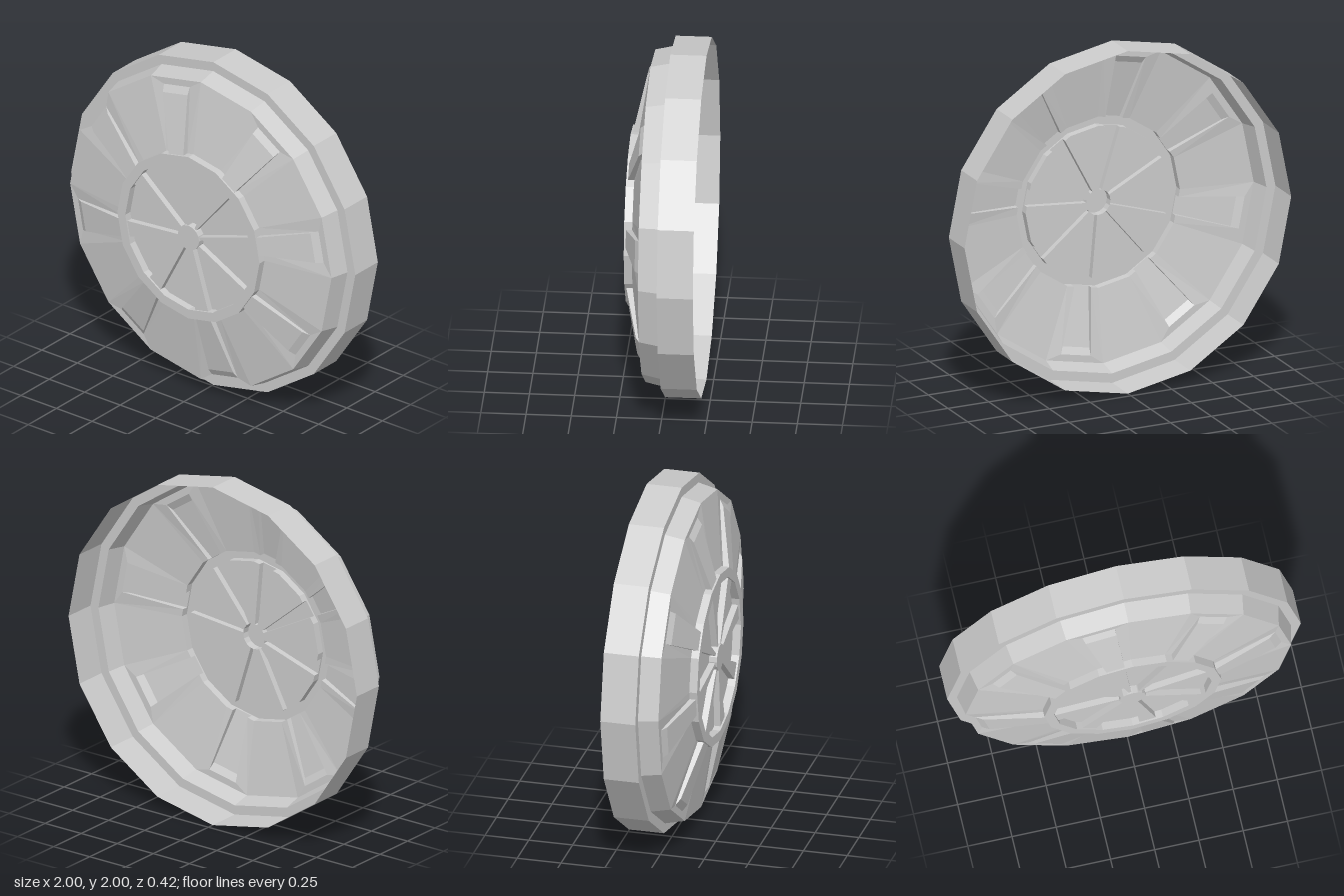
import * as THREE from 'three';

const SIDES = 16;
const S0 = 0.23, S1 = 0.77;            // spoke edges, as fractions of one facet
const BASE = 0.165, SPOKE = 0.2, RING = 0.21;   // depths of the pressed levels
const HUB = 0.075, RING_IN = 0.445, RING_OUT = 0.5, RIM = 0.92;

// Point on facet k, fraction t along its chord, at corner radius r and depth z
function P(k, t, [r, z]) {
  const a = (k / SIDES) * Math.PI * 2, b = ((k + 1) / SIDES) * Math.PI * 2;
  return new THREE.Vector3(
    r * THREE.MathUtils.lerp(Math.cos(a), Math.cos(b), t),
    r * THREE.MathUtils.lerp(Math.sin(a), Math.sin(b), t), z);
}

// Quad between two profile points, outer to inner, across part of a facet
const strip = (k, t0, t1, outer, inner) =>
  [P(k, t0, outer), P(k, t1, outer), P(k, t1, inner), P(k, t0, inner)];

function quadGeometry(quads) {
  const pts = quads.flatMap(([a, b, c, d]) => [a, b, c, a, c, d]);
  const g = new THREE.BufferGeometry().setFromPoints(pts);
  g.computeVertexNormals();
  return g;
}

// Full polygonal ring following a profile from the outside in
function ringQuads(profile) {
  const quads = [];
  for (let k = 0; k < SIDES; k++)
    for (let i = 0; i < profile.length - 1; i++)
      quads.push(strip(k, 0, 1, profile[i], profile[i + 1]));
  return quads;
}

export function createModel() {
  const model = new THREE.Group();
  const material = new THREE.MeshStandardMaterial({
    color: 0xcccccc, flatShading: true, side: THREE.DoubleSide });
  const add = (name, geometry) => {
    const mesh = new THREE.Mesh(geometry, material);
    mesh.name = name;
    mesh.position.y = 1;
    model.add(mesh);
    return mesh;
  };

  // Outer band, flat shoulder and sloping rim
  add('outerBand', quadGeometry(ringQuads([[1, -0.21], [1, -0.01]])));
  add('rim', quadGeometry(ringQuads([[1, -0.01], [0.945, -0.01], [RIM, 0.1]])));

  const dish = [], spokes = [], disc = [], walls = [];
  const rimEdge = [RIM, 0.1], dishEdge = [RING_OUT, BASE];
  const foot = [0.88, 0.1], tip = [0.84, 0.125], root = [RING_OUT, SPOKE];
  const discOut = [RING_IN, BASE], discIn = [HUB, BASE];
  const innerOut = [RING_IN, SPOKE], innerIn = [HUB, SPOKE];

  for (let k = 0; k < SIDES; k++) {
    if (k % 2) {
      // Plain facet
      dish.push(strip(k, 0, 1, rimEdge, dishEdge));
      disc.push(strip(k, 0, 1, discOut, discIn));
      walls.push(strip(k, 0, 1, dishEdge, [RING_OUT, RING]),
        strip(k, 0, 1, [RING_IN, RING], discOut));
      continue;
    }
    // Dish surface around the spoke opening
    dish.push(
      [P(k, 0, rimEdge), P(k, 1, rimEdge), P(k, S1, foot), P(k, S0, foot)],
      [P(k, 0, rimEdge), P(k, S0, foot), P(k, S0, dishEdge), P(k, 0, dishEdge)],
      [P(k, S1, foot), P(k, 1, rimEdge), P(k, 1, dishEdge), P(k, S1, dishEdge)]);
    disc.push(strip(k, 0, S0, discOut, discIn), strip(k, S1, 1, discOut, discIn));

    // Raised spoke: end slope, top, and tops and side walls in both zones
    spokes.push(strip(k, S0, S1, foot, tip), strip(k, S0, S1, tip, root),
      strip(k, S0, S1, innerOut, innerIn));
    const zones = [[foot, tip, root, dishEdge], [discOut, innerOut, innerIn, discIn]];
    for (const zone of zones) {
      spokes.push(zone.map(p => P(k, S0, p)));
      spokes.push(zone.map(p => P(k, S1, p)).reverse());
    }

    // Ring walls, left open where the spoke passes through
    for (const [a, b, z] of [[0, S0, BASE], [S0, S1, SPOKE], [S1, 1, BASE]])
      walls.push(strip(k, a, b, [RING_OUT, z], [RING_OUT, RING]),
        strip(k, a, b, [RING_IN, RING], [RING_IN, z]));
  }

  add('dish', quadGeometry(dish));
  add('spokes', quadGeometry(spokes));
  add('centreDisc', quadGeometry(disc));
  add('centreRing', quadGeometry(
    [...walls, ...ringQuads([[RING_OUT, RING], [RING_IN, RING]])]));

  // Hub button
  add('hubWall', quadGeometry(ringQuads([discIn, [HUB, RING]])));
  add('hubCap', new THREE.CircleGeometry(HUB, SIDES)).position.z = RING;

  return model;
}
